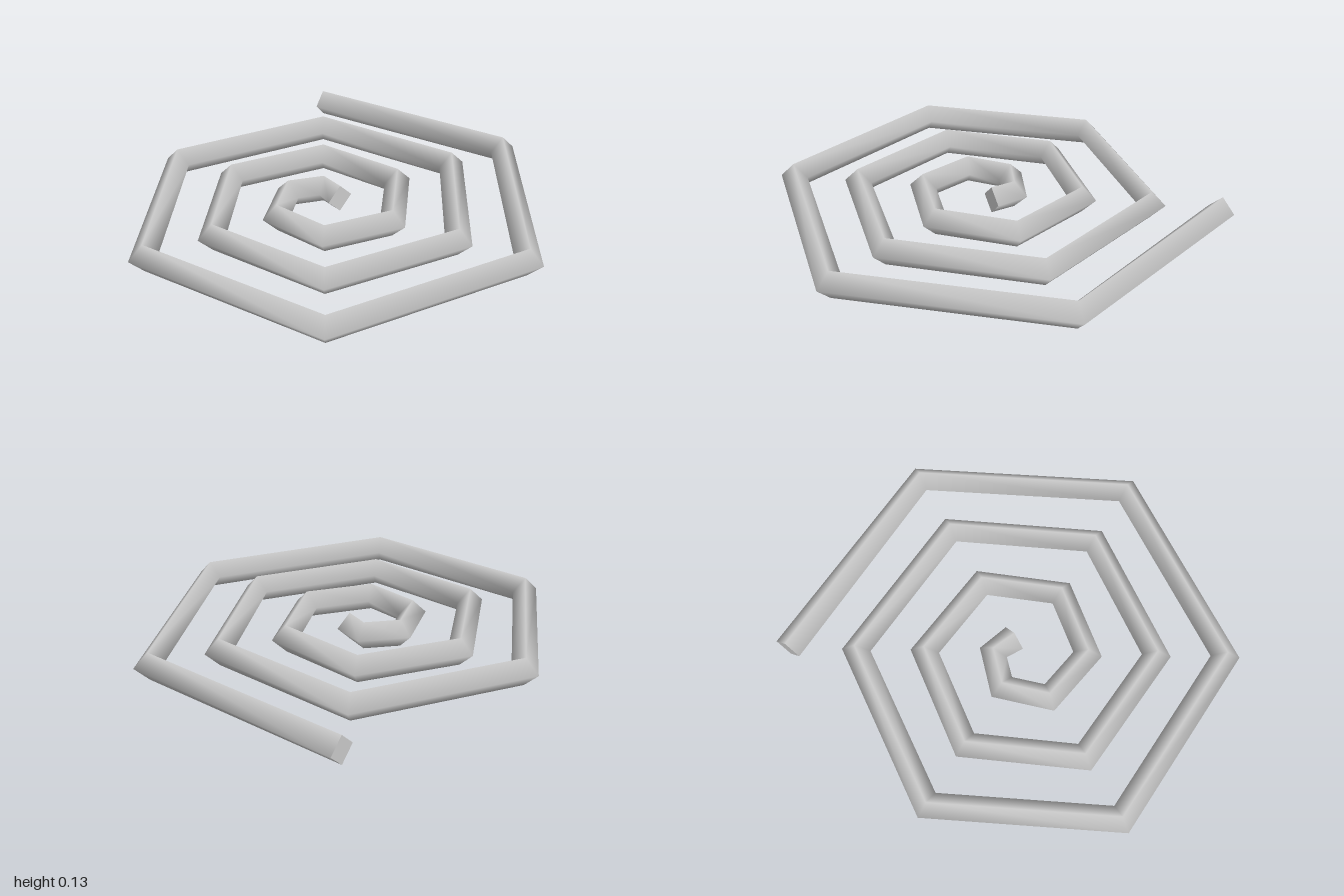
import * as THREE from 'three';

const BAR = 0.065;      // half diagonal of the square bar
const SEGMENTS = 19;    // straight runs, six per turn
const SIDES = 4;

// Corner points of the hexagonal spiral, from the centre outwards
function spiralPoints() {
  const points = [];
  for (let i = 0; i <= SEGMENTS; i++) {
    const angle = (i * Math.PI) / 3;
    const r = 0.0835 + 0.0517 * i;
    points.push(new THREE.Vector3(-0.0775 + r * Math.cos(angle), BAR, 0.025 - r * Math.sin(angle)));
  }
  return points;
}

// Diamond-section bar swept along the points, with flat end caps
function sweepBar(points) {
  const positions = [], normals = [], index = [];
  const up = new THREE.Vector3(0, 1, 0);
  const last = points.length - 1;
  const rings = [], tangents = [];

  points.forEach((p, i) => {
    const tangent = new THREE.Vector3();
    if (i > 0) tangent.add(p.clone().sub(points[i - 1]).normalize());
    if (i < last) tangent.add(points[i + 1].clone().sub(p).normalize());
    tangent.normalize();
    const side = new THREE.Vector3().crossVectors(tangent, up);
    const ring = [];
    for (let k = 0; k < SIDES; k++) {
      const a = (k * Math.PI * 2) / SIDES;
      const n = side.clone().multiplyScalar(Math.cos(a)).addScaledVector(up, Math.sin(a));
      const v = p.clone().addScaledVector(n, BAR);
      positions.push(v.x, v.y, v.z);
      normals.push(n.x, n.y, n.z);
      ring.push(v);
    }
    rings.push(ring);
    tangents.push(tangent);
  });

  for (let i = 0; i < last; i++) {
    for (let k = 0; k < SIDES; k++) {
      const a = i * SIDES + k, b = i * SIDES + ((k + 1) % SIDES);
      const d = a + SIDES, c = b + SIDES;
      index.push(a, d, b, d, c, b);
    }
  }

  const addCap = (ring, normal) => {
    const base = positions.length / 3;
    ring.forEach((v) => {
      positions.push(v.x, v.y, v.z);
      normals.push(normal.x, normal.y, normal.z);
    });
    index.push(base, base + 1, base + 2, base, base + 2, base + 3);
  };
  addCap(rings[0], tangents[0].clone().negate());
  addCap(rings[last].slice().reverse(), tangents[last]);

  const geometry = new THREE.BufferGeometry();
  geometry.setAttribute('position', new THREE.Float32BufferAttribute(positions, 3));
  geometry.setAttribute('normal', new THREE.Float32BufferAttribute(normals, 3));
  geometry.setIndex(index);
  return geometry;
}

export function createModel() {
  const group = new THREE.Group();
  group.name = 'hexagonalSpiral';
  const bar = new THREE.Mesh(
    sweepBar(spiralPoints()),
    new THREE.MeshStandardMaterial({ color: 0xcccccc })
  );
  bar.name = 'spiralBar';
  group.add(bar);
  return group;
}
